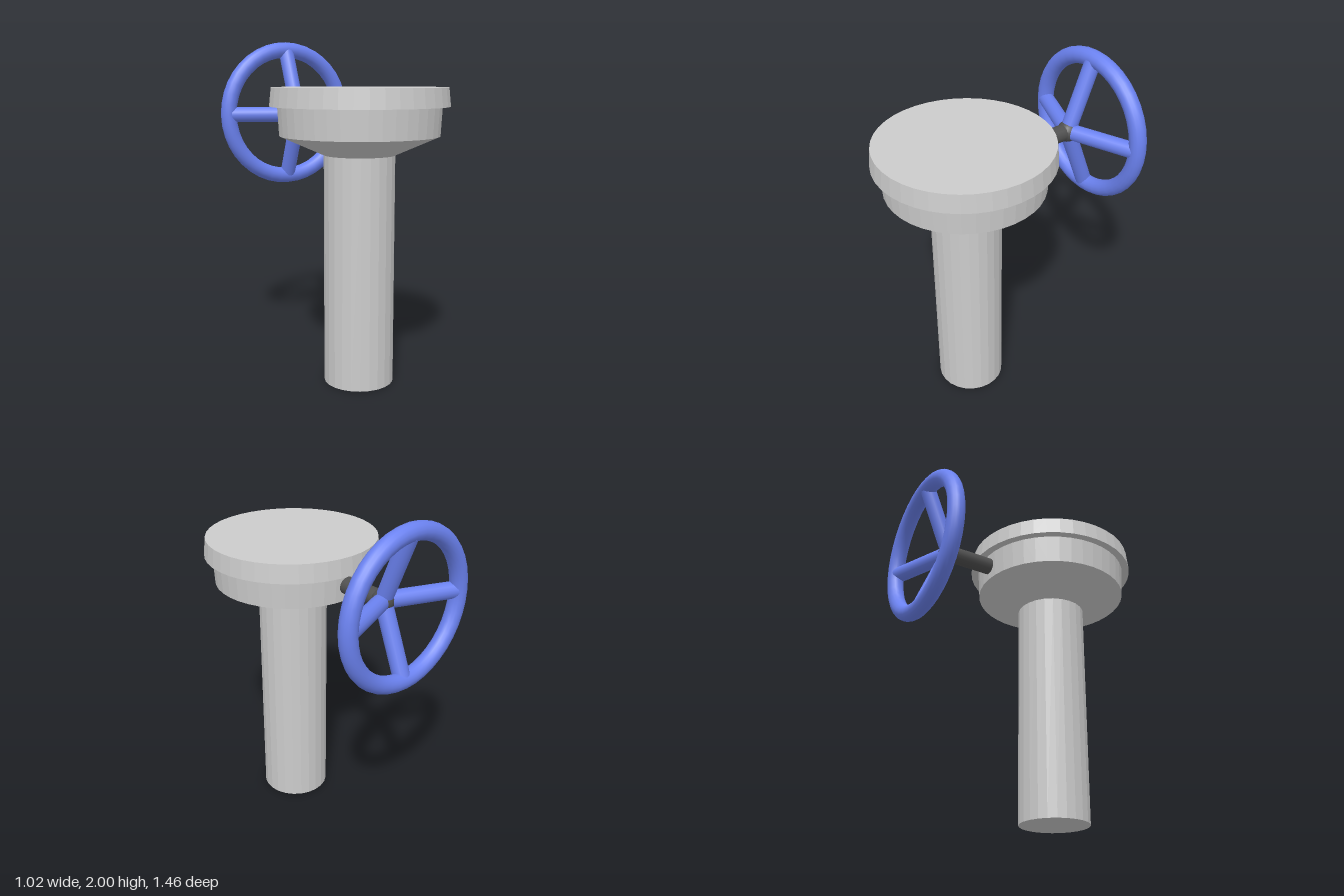
import * as THREE from 'three';

const grey = new THREE.MeshStandardMaterial({ color: 0xcccccc, flatShading: true });
const dark = new THREE.MeshStandardMaterial({ color: 0x505050 });
const blue = new THREE.MeshStandardMaterial({ color: 0x6b82f0 });

const BODY_Z = 0.217;
const WHEEL = new THREE.Vector3(-0.004, 1.54, -0.68);
const HUB_Z = -0.515;

function add(parent, name, geometry, material, x = 0, y = 0, z = 0) {
  const mesh = new THREE.Mesh(geometry, material);
  mesh.name = name;
  mesh.position.set(x, y, z);
  parent.add(mesh);
  return mesh;
}

// Round bar between two points
function rod(parent, name, a, b, radius, material) {
  const dir = b.clone().sub(a);
  const mid = a.clone().add(b).multiplyScalar(0.5);
  const mesh = add(parent, name, new THREE.CylinderGeometry(radius, radius, dir.length(), 16), material, mid.x, mid.y, mid.z);
  mesh.quaternion.setFromUnitVectors(new THREE.Vector3(0, 1, 0), dir.normalize());
  return mesh;
}

export function createModel() {
  const model = new THREE.Group();
  model.name = 'handwheelPedestal';

  // Column
  add(model, 'column', new THREE.CylinderGeometry(0.204, 0.204, 1.345, 24), grey, 0, 0.6725, BODY_Z);

  // Housing: flared underside and drum wall
  const profile = [[0, 1.34], [0.204, 1.34], [0.455, 1.45], [0.464, 1.615], [0, 1.615]]
    .map(([r, y]) => new THREE.Vector2(r, y));
  add(model, 'housing', new THREE.LatheGeometry(profile, 40), grey, 0, 0, BODY_Z);

  // Overhanging lid
  add(model, 'lid', new THREE.CylinderGeometry(0.498, 0.509, 0.106, 40), grey, 0, 1.667, BODY_Z);

  // Shaft and hub
  rod(model, 'shaft', new THREE.Vector3(WHEEL.x, WHEEL.y, -0.2),
    new THREE.Vector3(WHEEL.x, WHEEL.y, HUB_Z), 0.05, dark);
  add(model, 'hub', new THREE.SphereGeometry(0.064, 16, 12), dark, WHEEL.x, WHEEL.y, HUB_Z);

  // Handwheel: rim and four raked spokes
  const wheel = new THREE.Group();
  wheel.name = 'handwheel';
  wheel.position.copy(WHEEL);
  model.add(wheel);
  add(wheel, 'rim', new THREE.TorusGeometry(0.412, 0.05, 16, 40), blue);
  for (let i = 0; i < 4; i++) {
    const a = (i * Math.PI) / 2;
    const at = (r, z) => new THREE.Vector3(Math.cos(a) * r, Math.sin(a) * r, z - WHEEL.z);
    rod(wheel, 'spoke', at(0.035, HUB_Z - 0.014), at(0.395, -0.673), 0.048, blue);
  }

  return model;
}
